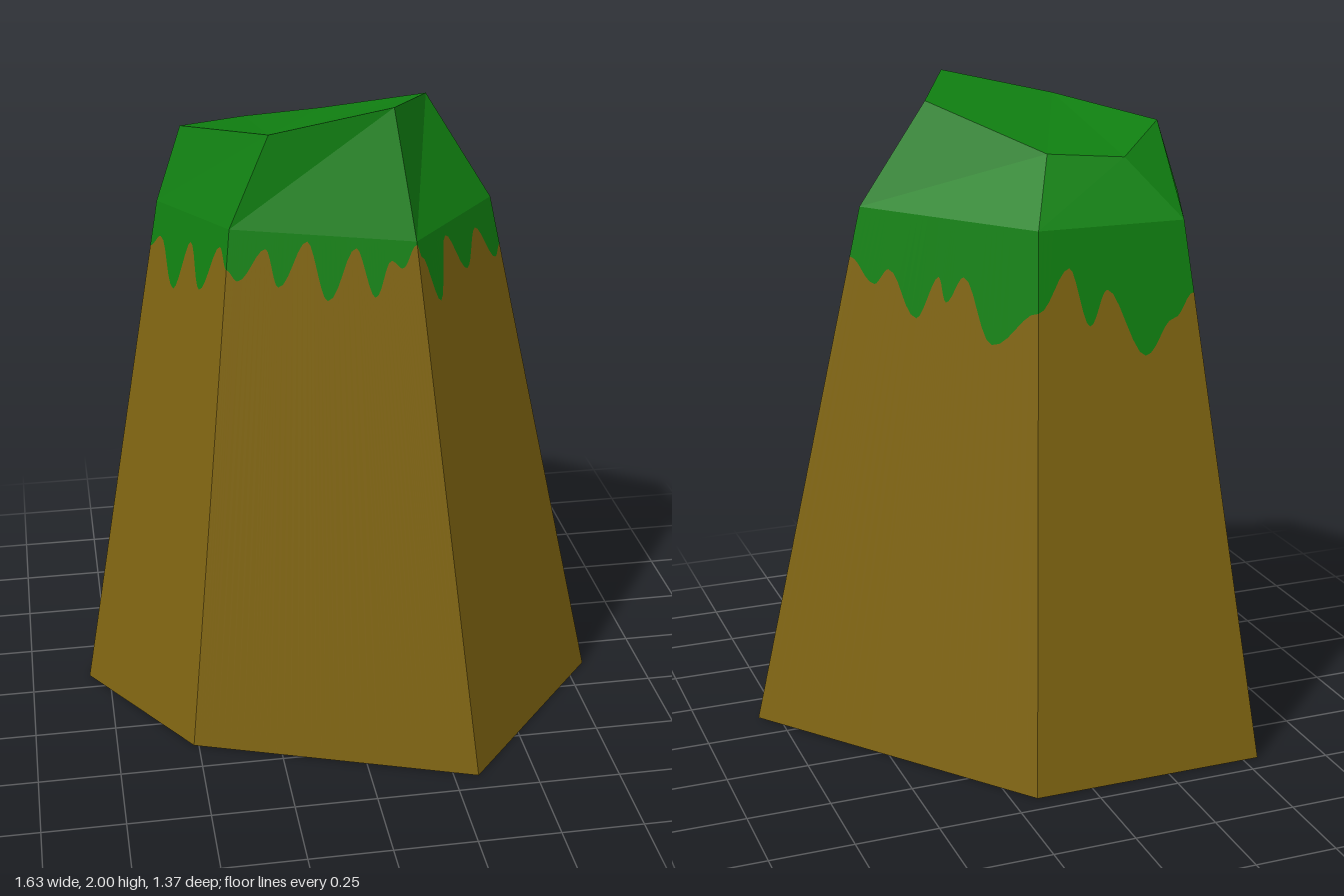
import * as THREE from 'three';

const V = (x, y, z) => new THREE.Vector3(x, y, z);
const MID = 1.64;

// Six corners, counter-clockwise from above: at the ground, the shoulder and the summit
const base = [[-0.515, 0.385], [0.325, 0.685], [0.812, 0.12], [0.175, -0.688], [-0.548, -0.688], [-0.815, -0.07]]
  .map(([x, z]) => V(x, 0, z));
const shoulder = [[-0.35, 0.228], [0.16, 0.413], [0.455, 0.066], [0.083, -0.445], [-0.37, -0.445], [-0.533, -0.06]]
  .map(([x, z]) => V(x, MID, z));
const summit = [[-0.235, 1.92, 0.245], [0.112, 2, 0.304], [0.263, 1.953, 0.013],
  [0, 1.83, -0.3], [-0.235, 1.81, -0.318], [-0.457, 1.867, -0.06]].map((p) => V(...p));

// Lower edge of the grass on each wall: [position along the wall, height]
const drips = [
  [[0, 1.52], [0.06, 1.49], [0.2, 1.59], [0.27, 1.48], [0.42, 1.62], [0.52, 1.45], [0.68, 1.61],
    [0.76, 1.47], [0.86, 1.58], [0.91, 1.56], [1, 1.63]],
  [[0, 1.63], [0.04, 1.59], [0.2, 1.44], [0.35, 1.61], [0.56, 1.48], [0.73, 1.58], [0.92, 1.46], [1, 1.49]],
  [[0, 1.49], [0.16, 1.42], [0.22, 1.47], [0.4, 1.34], [0.49, 1.47], [0.54, 1.4], [0.62, 1.48],
    [0.78, 1.3], [1, 1.41]],
  [[0, 1.41], [0.2, 1.53], [0.32, 1.36], [0.44, 1.46], [0.65, 1.26], [0.85, 1.36], [1, 1.43]],
  [[0, 1.43], [0.09, 1.39], [0.19, 1.48], [0.37, 1.35], [0.46, 1.46], [0.61, 1.37], [0.71, 1.47],
    [0.87, 1.32], [1, 1.5]],
  [[0, 1.5], [0.12, 1.54], [0.36, 1.4], [0.52, 1.56], [0.68, 1.43], [0.9, 1.58], [1, 1.52]],
];

// Eases between the control points so that drips have round tips
function dripLine(points, steps = 6) {
  const line = [points[0]];
  for (let i = 1; i < points.length; i++) {
    const [u0, y0] = points[i - 1], [u1, y1] = points[i];
    for (let s = 1; s <= steps; s++) {
      const t = s / steps, e = (1 - Math.cos(Math.PI * t)) / 2;
      line.push([u0 + (u1 - u0) * t, y0 + (y1 - y0) * e]);
    }
  }
  return line;
}

// Point on wall i, at u along it and height y
function wallPoint(i, u, y) {
  const j = (i + 1) % 6, t = y / MID;
  const a = base[i].clone().lerp(shoulder[i], t);
  return a.lerp(base[j].clone().lerp(shoulder[j], t), u);
}

const quad = (out, a, b, c, d) => out.push(a, b, c, a, c, d);

function fan(out, ring) {
  for (let i = 1; i < ring.length - 1; i++) out.push(ring[0], ring[i], ring[i + 1]);
}

function facetMesh(name, triangles, material) {
  const geometry = new THREE.BufferGeometry().setFromPoints(triangles);
  geometry.computeVertexNormals();
  const mesh = new THREE.Mesh(geometry, material);
  mesh.name = name;
  return mesh;
}

export function createModel() {
  const earth = new THREE.MeshStandardMaterial({ color: 0x7f6411 });
  earth.name = 'brown earth';
  const grass = new THREE.MeshStandardMaterial({ color: 0x108011 });
  grass.name = 'green grass';

  const walls = [], fringe = [], cap = [], underside = [];
  for (let i = 0; i < 6; i++) {
    const j = (i + 1) % 6;
    // Each wall is divided along the drip line
    const line = dripLine(drips[i]);
    for (let k = 1; k < line.length; k++) {
      const [u0, y0] = line[k - 1], [u1, y1] = line[k];
      const p0 = wallPoint(i, u0, y0), p1 = wallPoint(i, u1, y1);
      quad(walls, wallPoint(i, u0, 0), wallPoint(i, u1, 0), p1, p0);
      quad(fringe, p0, p1, wallPoint(i, u1, MID), wallPoint(i, u0, MID));
    }
    // Sloping shoulder above the wall
    quad(cap, shoulder[i], shoulder[j], summit[j], summit[i]);
  }
  fan(cap, summit);
  fan(underside, [...base].reverse());

  const model = new THREE.Group();
  model.name = 'grassyRockPillar';
  model.add(
    facetMesh('rockWalls', walls, earth),
    facetMesh('rockUnderside', underside, earth),
    facetMesh('grassDrips', fringe, grass),
    facetMesh('grassCap', cap, grass),
  );
  return model;
}
